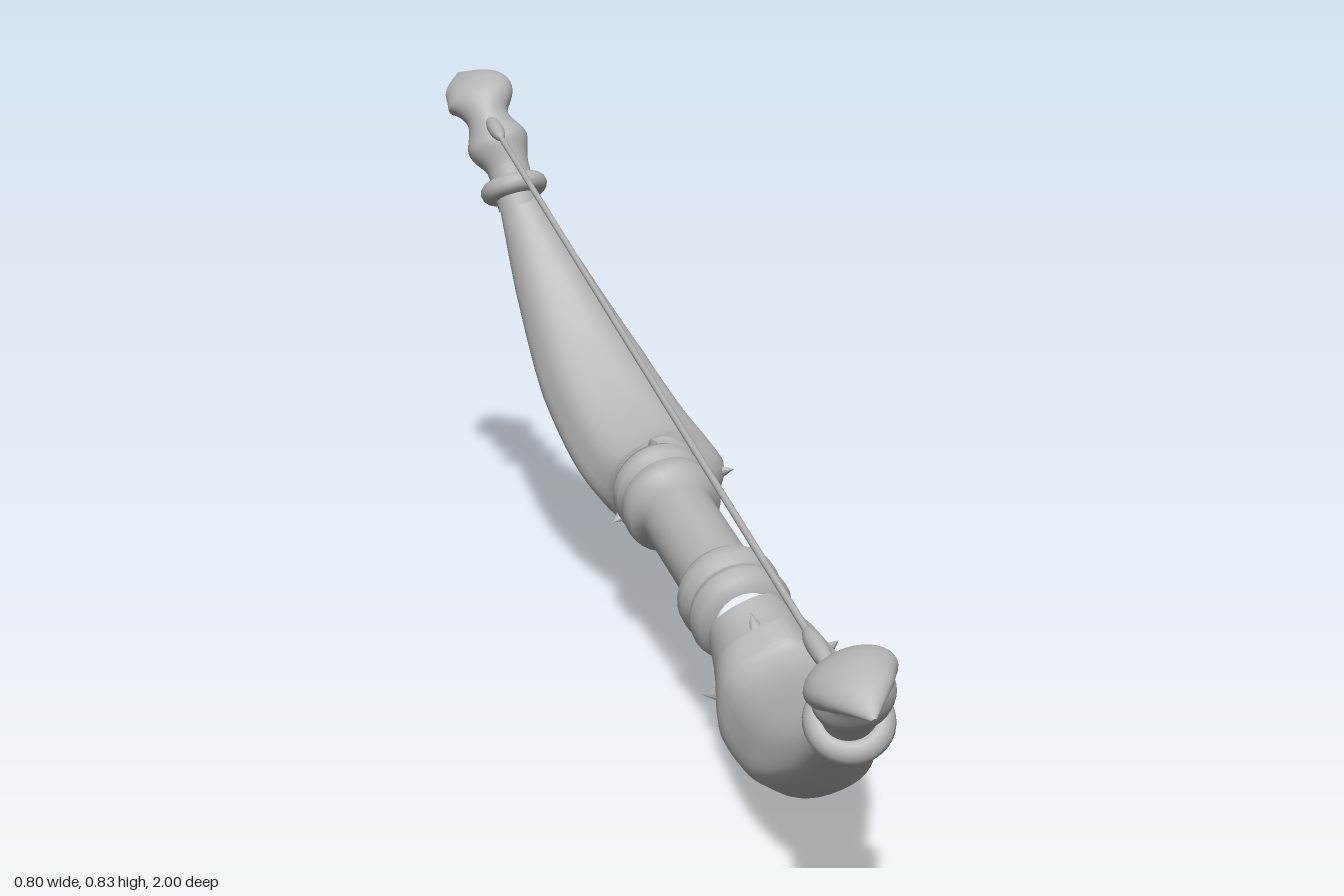
import * as THREE from 'three';

const V = (p) => new THREE.Vector3(...p);
const UP = new THREE.Vector3(0, 1, 0);
// Direction across the limbs, square to the plane of the bow
const ACROSS = new THREE.Vector3(0.897, 0.362, -0.243).normalize();

const curve = (points) => new THREE.CatmullRomCurve3(points.map(V));
// Shared [half thickness, half width] along each limb and each horn
const limbSize = curve([[0.06, 0.06, 0], [0.086, 0.081, 0], [0.084, 0.098, 0], [0.066, 0.1, 0],
  [0.061, 0.092, 0], [0.045, 0.063, 0], [0.027, 0.036, 0]]);
const hornSize = curve([[0.03, 0.035, 0], [0.034, 0.037, 0], [0.046, 0.054, 0], [0.036, 0.037, 0],
  [0.035, 0.06, 0], [0.024, 0.045, 0], [0.002, 0.003, 0]]);

// Point, tangent, side and normal at one place on a spine
function frame(spine, u) {
  const p = spine.getPoint(u), t = spine.getTangent(u);
  const side = ACROSS.clone().addScaledVector(t, -ACROSS.dot(t)).normalize();
  return { p, t, side, n: t.clone().cross(side) };
}

// Smooth loft along a spine; section(angle, u) scales the ellipse
function loft(spine, sizes, section, steps = 60, sides = 36) {
  const pos = [], idx = [];
  for (let i = 0; i <= steps; i++) {
    const u = i / steps;
    const { p, side, n } = frame(spine, u);
    const size = sizes.getPoint(u);
    for (let j = 0; j < sides; j++) {
      const a = (j / sides) * Math.PI * 2, k = section(a, u);
      const q = p.clone()
        .addScaledVector(side, Math.cos(a) * size.y * k)
        .addScaledVector(n, Math.sin(a) * size.x * k);
      pos.push(q.x, q.y, q.z);
      if (i < steps) {
        const j2 = (j + 1) % sides, b = i * sides, c = b + sides;
        idx.push(b + j, b + j2, c + j2, b + j, c + j2, c + j);
      }
    }
  }
  const g = new THREE.BufferGeometry();
  g.setAttribute('position', new THREE.Float32BufferAttribute(pos, 3));
  g.setIndex(idx);
  g.computeVertexNormals();
  return g;
}

export function createModel() {
  const bow = new THREE.Group();
  bow.name = 'bow';
  const grey = new THREE.MeshStandardMaterial({ color: 0xb3b3b3 });
  grey.name = 'grey';

  const add = (name, geometry) => {
    const m = new THREE.Mesh(geometry, grey);
    m.name = name;
    bow.add(m);
    return m;
  };
  // Lay a y-axis geometry between two points
  const between = (name, a, b, make) => {
    const d = b.clone().sub(a);
    const m = add(name, make(d.length()));
    m.position.copy(a).add(b).multiplyScalar(0.5);
    m.quaternion.setFromUnitVectors(UP, d.normalize());
  };

  // Grip with a moulded collar at each end, turned as one profile
  between('grip', V([0.183, 0.186, 0.05]), V([0.015, 0.274, -0.38]), (len) => {
    const half = [[0.05, 0], [0.072, 0.008], [0.08, 0.028], [0.076, 0.044], [0.066, 0.052],
      [0.07, 0.06], [0.08, 0.075], [0.08, 0.094], [0.074, 0.106], [0.063, 0.112], [0.059, 0.135]];
    const lower = half.map(([r, h]) => new THREE.Vector2(r, h - len / 2));
    const upper = half.map(([r, h]) => new THREE.Vector2(r, len / 2 - h)).reverse();
    return new THREE.LatheGeometry([...lower, ...upper], 32);
  });

  // One limb with its horn; outer is the sign of the side away from the string
  const addLimb = (name, outer, limb, horn) => {
    // Keel on the outer side, shallow grooves, lobed flare at the root
    add(name + 'Limb', loft(limb, limbSize, (a, u) => {
      const out = Math.max(0, Math.sin(a) * outer);
      const lobes = Math.exp(-(((u - 0.24) / 0.12) ** 2)) * 0.05 * Math.cos(5 * a);
      const grooves = 0.035 * Math.cos(6 * a) * Math.sin(Math.PI * u);
      return 1 + 0.06 * out ** 8 + lobes + grooves;
    }));

    // Beaded neck ending in a hooked horn
    add(name + 'Horn', loft(horn, hornSize, () => 1));
    const neck = frame(horn, 0.08);
    const band = add(name + 'Band', new THREE.TorusGeometry(0.041, 0.018, 12, 32).rotateX(Math.PI / 2));
    band.position.copy(neck.p);
    band.quaternion.setFromUnitVectors(UP, neck.t);

    // Pointed cuff: four thorns leaning back around the root
    const root = frame(limb, 1 / 3);
    for (let i = 0; i < 4; i++) {
      const a = (i * Math.PI) / 2;
      const tip = root.p.clone()
        .addScaledVector(root.side, Math.cos(a) * 0.11)
        .addScaledVector(root.n, Math.sin(a) * 0.113)
        .addScaledVector(root.t, -0.055);
      between(name + 'Thorn', root.p, tip, (len) => new THREE.ConeGeometry(0.055, len, 12));
    }
  };

  addLimb('front', -1,
    curve([[0.175, 0.19, 0.03], [0.208, 0.145, 0.065], [0.235, 0.107, 0.12], [0.253, 0.1, 0.2],
      [0.288, 0.132, 0.4], [0.318, 0.202, 0.6], [0.337, 0.285, 0.74]]),
    curve([[0.338, 0.285, 0.735], [0.342, 0.335, 0.79], [0.345, 0.37, 0.83], [0.343, 0.4, 0.87],
      [0.341, 0.418, 0.905], [0.352, 0.418, 0.95], [0.37, 0.402, 1]]));
  addLimb('back', 1,
    curve([[0.02, 0.27, -0.36], [0.03, 0.246, -0.42], [0.022, 0.238, -0.49], [-0.045, 0.283, -0.6],
      [-0.115, 0.365, -0.7], [-0.2, 0.51, -0.8], [-0.257, 0.63, -0.845]]),
    curve([[-0.258, 0.625, -0.842], [-0.28, 0.69, -0.87], [-0.3, 0.73, -0.888], [-0.318, 0.77, -0.9],
      [-0.335, 0.805, -0.925], [-0.36, 0.82, -0.96], [-0.382, 0.835, -1]]));

  // Bowstring with tapered knots
  const start = V([0.312, 0.417, 0.85]), end = V([-0.308, 0.772, -0.865]);
  between('string', start, end, (len) => new THREE.CylinderGeometry(0.005, 0.005, len, 8));
  for (const [a, b] of [[-0.008, 0.045], [0.955, 1.008]]) {
    between('stringKnot', start.clone().lerp(end, a), start.clone().lerp(end, b), (len) =>
      new THREE.SphereGeometry(0.5, 14, 10).scale(0.026, len, 0.026));
  }
  return bow;
}
